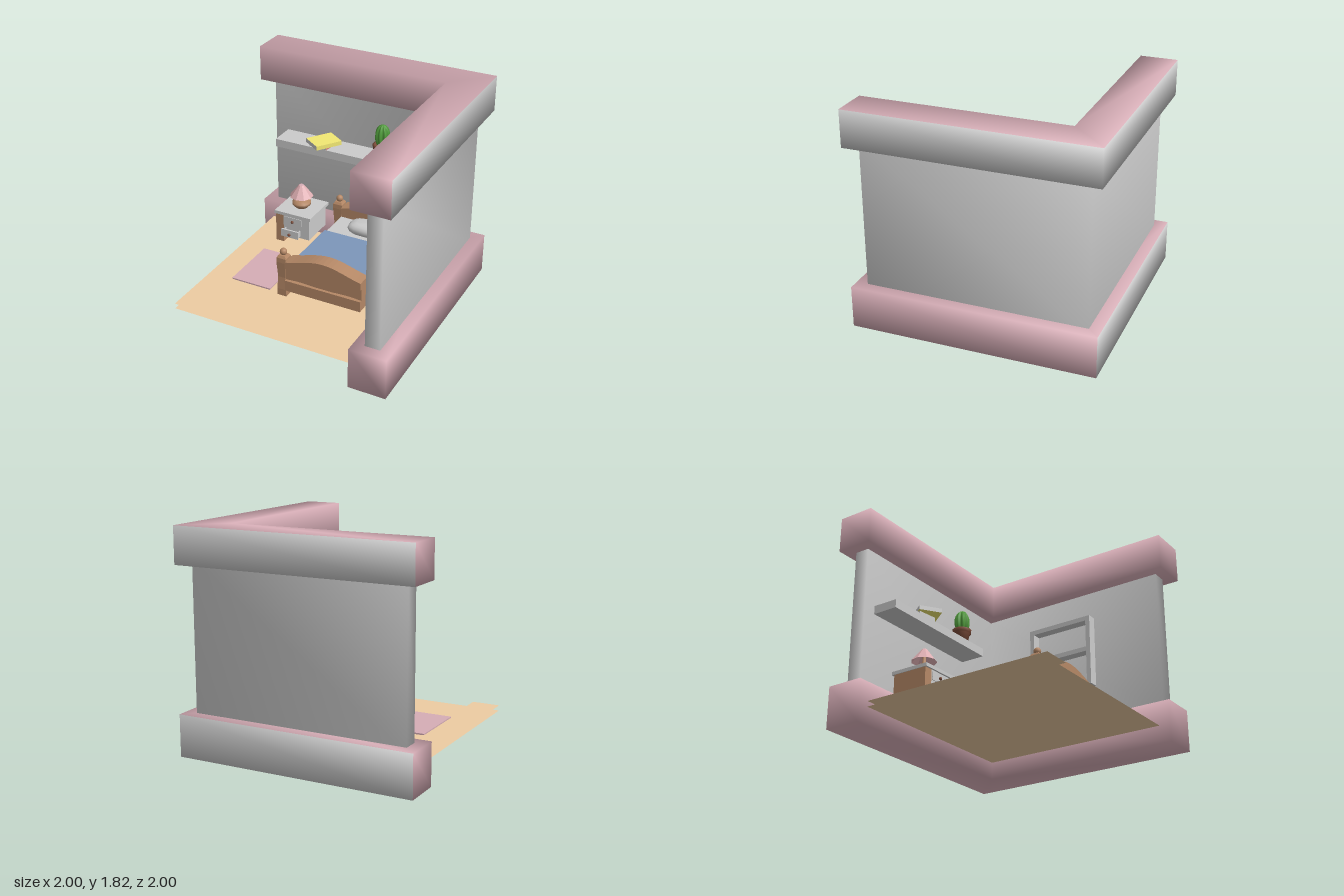
import * as THREE from 'three';

const mat = (color, extra = {}) => new THREE.MeshStandardMaterial({ color, ...extra });
const grey = mat(0xcccccc);
const pink = mat(0xd6adb6);
const wood = mat(0xb58866);
const woodFlat = mat(0xb58866, { flatShading: true });
const floorTan = mat(0xedcca2, { side: THREE.DoubleSide });
const blue = mat(0x7d96ba);
const yellow = mat(0xf2e873);
const red = mat(0xd98a80);
const green = mat(0x4f9a3a);
const clay = mat(0x7a4a38);

function add(parent, name, geometry, material, x = 0, y = 0, z = 0) {
  const mesh = new THREE.Mesh(geometry, material);
  mesh.name = name;
  mesh.position.set(x, y, z);
  parent.add(mesh);
  return mesh;
}

// Box given by its minimum and maximum on each axis
function box(parent, name, material, x0, x1, y0, y1, z0, z1) {
  return add(parent, name, new THREE.BoxGeometry(x1 - x0, y1 - y0, z1 - z0), material,
    (x0 + x1) / 2, (y0 + y1) / 2, (z0 + z1) / 2);
}

function group(parent, name) {
  const g = new THREE.Group();
  g.name = name;
  parent.add(g);
  return g;
}

const lathe = (points, segments) =>
  new THREE.LatheGeometry(points.map(([r, y]) => new THREE.Vector2(r, y)), segments);

// L-shaped prism along the back and right, with soft normals; greySides lists the grey outer faces
function cornerPrism(outer, inner, y0, y1, greySides) {
  const outline = [[-outer, -outer], [outer, -outer], [outer, outer],
    [inner, outer], [inner, -inner], [-outer, -inner]];
  const positions = [y0, y1].flatMap(y => outline.flatMap(([x, z]) => [x, y, z]));
  const index = [];
  const geometry = new THREE.BufferGeometry();
  for (let a = 0; a < 6; a++) {
    const b = (a + 1) % 6;
    geometry.addGroup(index.length, 6, greySides.includes(a) ? 1 : 0);
    index.push(a, a + 6, b + 6, a, b + 6, b);
  }
  geometry.addGroup(index.length, 24, 0);
  for (const [a, b, c] of [[0, 1, 4], [0, 4, 5], [1, 2, 4], [2, 3, 4]]) {
    index.push(a, b, c, c + 6, b + 6, a + 6);
  }
  geometry.setAttribute('position', new THREE.Float32BufferAttribute(positions, 3));
  geometry.setIndex(index);
  geometry.computeVertexNormals();
  return geometry;
}

function buildRoom(parent) {
  const room = group(parent, 'room');
  add(room, 'walls', cornerPrism(0.905, 0.78, 0.3, 1.55, []), [grey, grey]);
  add(room, 'lowerBand', cornerPrism(1, 0.69, 0, 0.345, [0]), [pink, grey]);
  add(room, 'upperBand', cornerPrism(1, 0.69, 1.515, 1.815, [0, 1]), [pink, grey]);
  add(room, 'floor', new THREE.PlaneGeometry(1.81, 1.81).rotateX(-Math.PI / 2), floorTan, 0, 0.145, 0);
  add(room, 'floorBoard', new THREE.PlaneGeometry(0.235, 1.81).rotateX(-Math.PI / 2), floorTan, -0.7875, 0.19, 0);
  box(room, 'rug', pink, -0.69, -0.33, 0.188, 0.2, -0.145, 0.38);

  // Window frame on the right wall
  const win = group(room, 'window');
  for (const z of [-0.3, 0.26]) box(win, 'windowStile', grey, 0.7, 0.79, 0.65, 1.27, z, z + 0.04);
  for (const y of [0.65, 0.95, 1.23]) box(win, 'windowRail', grey, 0.7, 0.79, y, y + 0.04, -0.3, 0.3);
}

// Board with an arched cap and one turned post, used at both ends of the bed
function bedEnd(parent, name, z) {
  const end = group(parent, name);
  end.position.z = z;
  const x0 = -0.16, x1 = 0.51, mid = 0.175;
  const arch = (bottom, top, depth) => {
    const s = new THREE.Shape();
    s.moveTo(x0, bottom[0]);
    s.bezierCurveTo(-0.02, bottom[0] + 0.02, 0.06, bottom[1], mid, bottom[1]);
    s.bezierCurveTo(0.29, bottom[1], 0.37, bottom[0] + 0.02, x1, bottom[0]);
    s.lineTo(x1, top[0]);
    s.bezierCurveTo(0.37, top[0] + 0.03, 0.29, top[1], mid, top[1]);
    s.bezierCurveTo(0.06, top[1], -0.02, top[0] + 0.03, x0, top[0]);
    return new THREE.ExtrudeGeometry(s, { depth, bevelEnabled: false, curveSegments: 8 })
      .translate(0, 0, -depth / 2);
  };
  add(end, 'panel', arch([0.355, 0.355], [0.49, 0.56], 0.09), wood);
  add(end, 'archCap', arch([0.465, 0.535], [0.525, 0.6], 0.13), wood);
  box(end, 'bottomBoard', wood, x0, x1, 0.265, 0.358, -0.07, 0.07);

  // Square post with a waist and a ball
  const r = Math.SQRT2;
  const post = lathe([[0, 0.19], [0.04 * r, 0.19], [0.041 * r, 0.25], [0.034 * r, 0.36],
    [0.043 * r, 0.5], [0.042 * r, 0.54], [0.03 * r, 0.56], [0, 0.562]], 4).rotateY(Math.PI / 4);
  add(end, 'post', post, woodFlat, -0.203, 0, 0.005);
  add(end, 'postBall', new THREE.SphereGeometry(0.03, 12, 8), wood, -0.203, 0.585, 0.005);
}

function buildBed(parent) {
  const bed = group(parent, 'bed');
  bedEnd(bed, 'footboard', 0.36);
  bedEnd(bed, 'headboard', -0.63);
  box(bed, 'bedBase', wood, -0.155, 0.505, 0.27, 0.35, -0.6, 0.32);
  box(bed, 'mattress', grey, -0.16, 0.51, 0.345, 0.44, -0.57, 0.3);
  box(bed, 'blanket', blue, -0.17, 0.52, 0.35, 0.455, -0.28, 0.22);

  // Pillow: a sphere squared off in plan
  const pillow = new THREE.SphereGeometry(1, 16, 8);
  const p = pillow.attributes.position;
  const square = v => Math.sign(v) * Math.pow(Math.abs(v), 0.6);
  for (let i = 0; i < p.count; i++) {
    p.setXYZ(i, square(p.getX(i)) * 0.178, p.getY(i) * 0.055, square(p.getZ(i)) * 0.1);
  }
  pillow.computeVertexNormals();
  add(bed, 'pillow', pillow, grey, 0.172, 0.485, -0.42);
}

function buildNightstand(parent) {
  const stand = group(parent, 'nightstand');
  box(stand, 'standTop', grey, -0.68, -0.33, 0.467, 0.495, -0.66, -0.32);
  box(stand, 'standBody', grey, -0.6, -0.352, 0.27, 0.467, -0.64, -0.335);
  box(stand, 'standSide', wood, -0.675, -0.6, 0.195, 0.467, -0.64, -0.335);
  box(stand, 'upperDrawer', grey, -0.59, -0.425, 0.385, 0.452, -0.35, -0.33);

  // Lower drawer, pulled open
  box(stand, 'drawerFront', grey, -0.59, -0.425, 0.29, 0.36, -0.285, -0.27);
  box(stand, 'drawerBottom', grey, -0.58, -0.435, 0.292, 0.302, -0.335, -0.285);
  for (const x of [-0.58, -0.443]) box(stand, 'drawerSide', grey, x, x + 0.008, 0.295, 0.345, -0.335, -0.285);
  for (const [y, z] of [[0.418, -0.32], [0.322, -0.26]]) {
    add(stand, 'knob', new THREE.SphereGeometry(0.013, 10, 8), clay, -0.507, y, z);
  }

  // Lamp
  const lamp = group(stand, 'lamp');
  lamp.position.set(-0.505, 0.495, -0.49);
  add(lamp, 'lampBase', lathe([[0, 0], [0.055, 0], [0.082, 0.03], [0.082, 0.05], [0.055, 0.07],
    [0.016, 0.075], [0.013, 0.15], [0, 0.15]], 16), wood);
  add(lamp, 'lampShade', new THREE.CylinderGeometry(0.022, 0.103, 0.105, 9, 1, true),
    mat(0xe0b0b4, { flatShading: true, side: THREE.DoubleSide }), 0, 0.158, 0);
  add(lamp, 'shadeCap', new THREE.CylinderGeometry(0.022, 0.022, 0.004, 9), pink, 0, 0.208, 0);
}

function buildShelf(parent) {
  const shelf = group(parent, 'shelf');
  box(shelf, 'shelfBoard', grey, -0.79, 0.36, 0.98, 1.05, -0.79, -0.56);

  // Two stacked books with pale page edges
  const lower = add(shelf, 'lowerBook', new THREE.BoxGeometry(0.17, 0.032, 0.19),
    [red, grey, red, red, grey, grey], -0.375, 1.066, -0.665);
  lower.rotation.y = -0.12;
  const upper = add(shelf, 'upperBook', new THREE.BoxGeometry(0.19, 0.036, 0.24),
    [yellow, grey, yellow, yellow, grey, grey], -0.35, 1.102, -0.612);
  upper.rotation.y = -0.6;

  // Cactus in a pot
  const plant = group(shelf, 'plant');
  plant.position.set(0.176, 1.05, -0.65);
  add(plant, 'pot', lathe([[0, 0], [0.052, 0], [0.066, 0.09], [0.08, 0.095], [0.082, 0.126],
    [0.066, 0.126], [0.062, 0.108], [0, 0.108]], 14), clay);
  const cactus = new THREE.SphereGeometry(1, 48, 16);
  const p = cactus.attributes.position;
  for (let i = 0; i < p.count; i++) {
    const x = p.getX(i), z = p.getZ(i);
    const r = 0.057 + 0.009 * Math.cos(8 * Math.atan2(z, x));
    p.setXYZ(i, x * r, p.getY(i) * 0.103, z * r);
  }
  cactus.computeVertexNormals();
  add(plant, 'cactus', cactus, green, 0, 0.202, 0);
}

export function createModel() {
  const model = new THREE.Group();
  model.name = 'bedroomCorner';
  buildRoom(model);
  buildBed(model);
  buildNightstand(model);
  buildShelf(model);
  return model;
}
